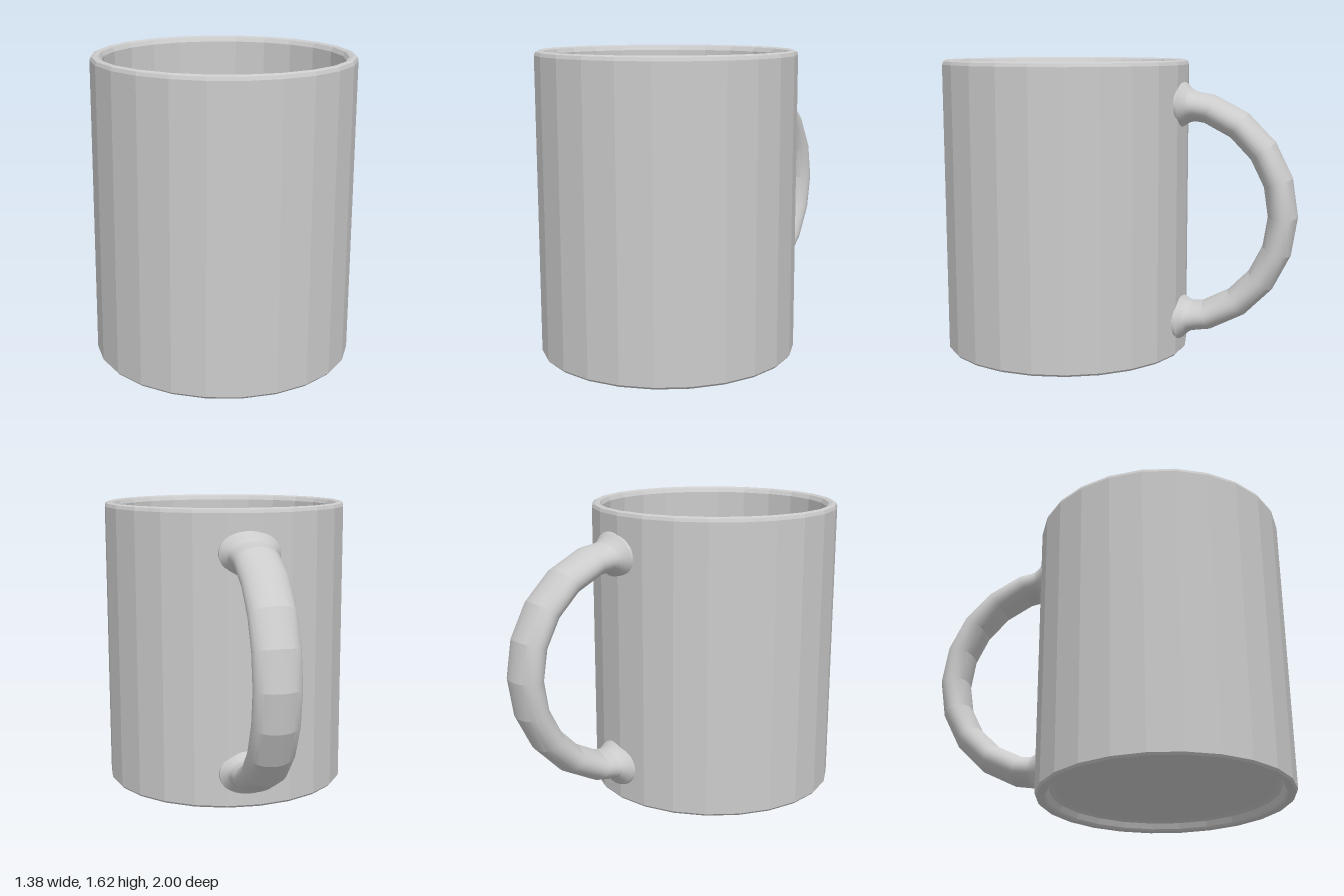
import * as THREE from 'three';
import { toCreasedNormals } from 'three/addons/utils/BufferGeometryUtils.js';

const CUP_Z = 0.31, CUP_R = 0.69;

// Closed wall profile: recessed foot, outside, rounded rim, inside, floor
function makeCup() {
  const profile = [
    [0, 0.05], [0.59, 0.05], [0.615, 0.04], [0.63, 0.01], [0.64, 0],
    [0.68, 0], [0.69, 0.012], [0.69, 1.595], [0.683, 1.613], [0.665, 1.62],
    [0.645, 1.613], [0.632, 1.59], [0.63, 0.14], [0.61, 0.12], [0, 0.12],
  ].map(([r, y]) => new THREE.Vector2(r, y));
  return new THREE.LatheGeometry(profile, 24);
}

// Point on the handle's outline: a runs along the half loop, phi around the oval section
function handlePoint(a, phi, grow) {
  const cz = -0.33 - 0.59 * Math.cos(a);
  const cx = 0.056 - 0.065 * (cz + 0.4); // the handle leans slightly sideways
  const n = (0.08 + grow) * Math.sin(phi);
  return new THREE.Vector3(
    cx + (0.125 + grow) * Math.cos(phi),
    0.79 + 0.6 * Math.sin(a) + n * Math.sin(a),
    cz - n * Math.cos(a));
}

// Faceted loop of ten straight pieces, flaring where it meets the wall
function makeHandle() {
  const pieces = 10, around = 48, endRows = 8;
  const positions = [], index = [];
  const steps = [];
  for (let k = 0; k < pieces; k++) {
    const rows = k === 0 || k === pieces - 1 ? endRows : 1;
    for (let r = 0; r < rows; r++) steps.push([k, r / rows]);
  }
  steps.push([pieces - 1, 1]);

  const angle = k => -Math.PI / 2 + (Math.PI * k) / pieces;
  const onPiece = (k, t, phi, grow) =>
    handlePoint(angle(k), phi, grow).lerp(handlePoint(angle(k + 1), phi, grow), t);

  steps.forEach(([k, t], i) => {
    for (let j = 0; j < around; j++) {
      const phi = (j / around) * Math.PI * 2;
      const base = onPiece(k, t, phi, 0);
      const gap = Math.hypot(base.x, base.z - CUP_Z) - CUP_R + 0.005;
      const near = THREE.MathUtils.clamp(1 - gap / 0.075, 0, 1);
      positions.push(...onPiece(k, t, phi, 0.045 * near * near).toArray());
      if (i < steps.length - 1) {
        const p = i * around + j, q = i * around + (j + 1) % around;
        index.push(p, q, p + around, q, q + around, p + around);
      }
    }
  });
  const geometry = new THREE.BufferGeometry();
  geometry.setAttribute('position', new THREE.Float32BufferAttribute(positions, 3));
  geometry.setIndex(index);
  return toCreasedNormals(geometry, 0.27);
}

export function createModel() {
  const group = new THREE.Group();
  group.name = 'mug';

  const cup = new THREE.Mesh(makeCup(),
    new THREE.MeshStandardMaterial({ color: 0xcccccc, flatShading: true }));
  cup.name = 'cup';
  cup.position.z = CUP_Z;

  const handle = new THREE.Mesh(makeHandle(),
    new THREE.MeshStandardMaterial({ color: 0xcccccc }));
  handle.name = 'handle';

  group.add(cup, handle);
  return group;
}
